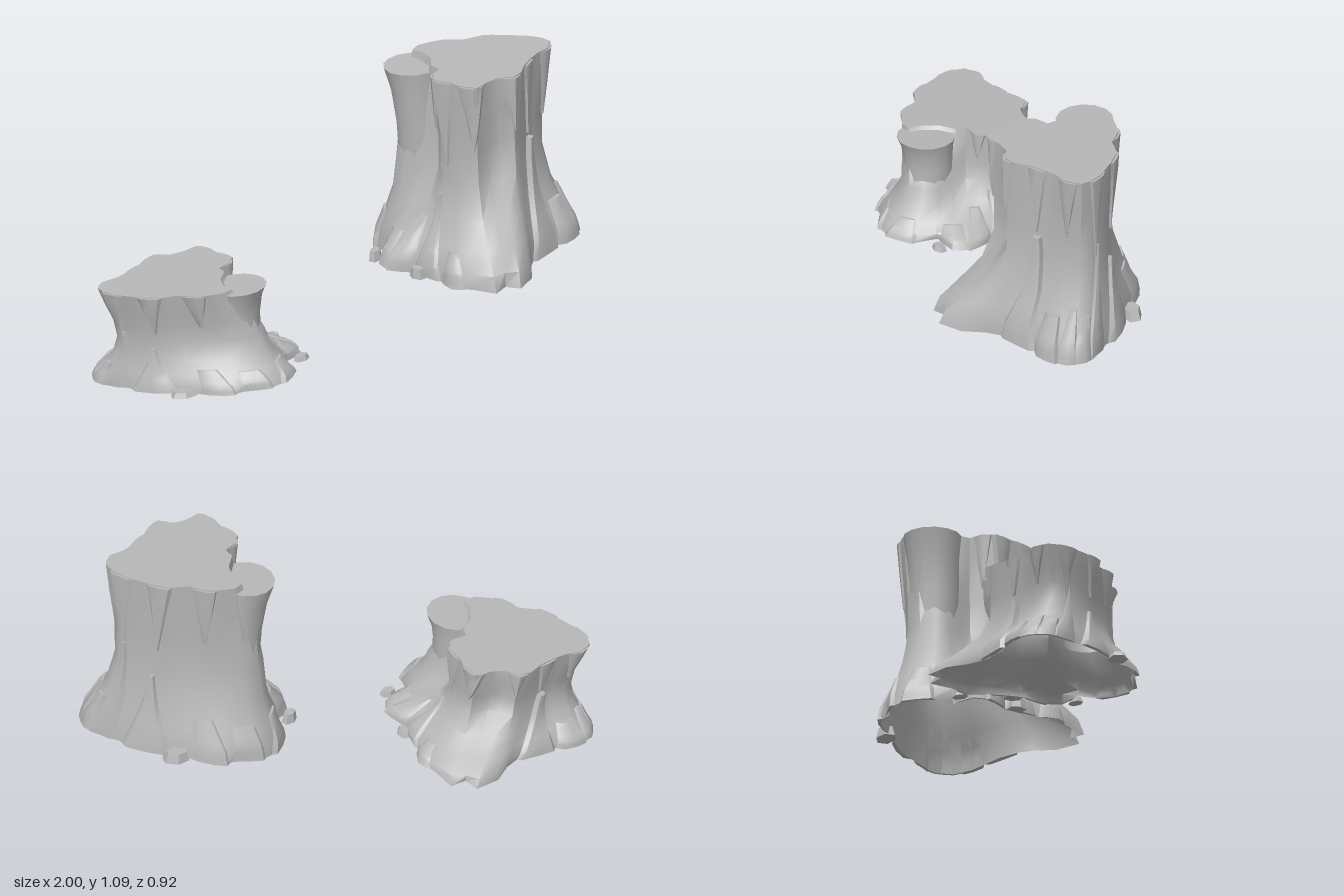
import * as THREE from 'three';
import { toCreasedNormals } from 'three/addons/utils/BufferGeometryUtils.js';

const wood = new THREE.MeshStandardMaterial({ color: 0xb8b8b8, side: THREE.DoubleSide });
wood.name = 'grey wood';

// Outlines of the roots on the ground, the waist and the sawn top (x, z in hundredths)
const ROOTS = [[40, -7], [37, -2], [32, 3], [24, 7], [16, 14], [12, 22], [10, 31], [3, 39], [-2, 35],
  [-7, 40], [-14, 33], [-21, 28], [-24, 17], [-29, 7], [-38, 1], [-39, -6], [-32, -13], [-37, -22],
  [-33, -32], [-26, -37], [-18, -36], [-12, -40], [-2, -36], [10, -31], [22, -27], [32, -18], [38, -15]];
const WAIST = [[29, -13], [27, -8], [23, -4], [20, 0], [17, 5], [14, 9], [11, 13], [6, 14], [1, 14],
  [-5, 16], [-10, 13], [-12, 9], [-15, 5], [-15, 0], [-14, -5], [-19, -10], [-25, -14], [-27, -19],
  [-25, -25], [-19, -29], [-10, -28], [-3, -28], [5, -26], [12, -26], [18, -24], [25, -20], [28, -17]];
const TOP = [[35, -13], [32, -7], [27, -4], [23, 0], [19, 5], [16, 11], [12, 14], [6, 13], [1, 15],
  [-4, 19], [-10, 14], [-12, 10], [-17, 5], [-16, -1], [-12, -5], [-14, -9], [-12, -16], [-13, -22],
  [-16, -27], [-13, -30], [-7, -31], [-2, -31], [5, -28], [13, -29], [20, -26], [29, -21], [33, -17]];
const N = ROOTS.length, HEIGHT = 0.77;
// Root outline softened between neighbours, used above the toes
const SOFT = ROOTS.map((p, i) => p.map((v, c) => v * 0.6 + (ROOTS[(i + 1) % N][c] + ROOTS[(i + N - 1) % N][c]) * 0.2));
// height, share of roots, share of top
const LEVELS = [[0, 1, 0], [0.06, 0.97, 0], [0.13, 0.67, 0], [0.23, 0.26, 0], [0.36, 0.03, 0],
  [0.5, 0, 0.2], [0.64, 0, 0.65], [HEIGHT, 0, 1]];

// Point on the bark at position u around the trunk and height y, pushed outwards by out
function bark(u, y, out = 0) {
  const i = ((Math.floor(u) % N) + N) % N, j = (i + 1) % N, f = u - Math.floor(u);
  let k = 0;
  while (k < LEVELS.length - 2 && y > LEVELS[k + 1][0]) k++;
  const [a, b] = [LEVELS[k], LEVELS[k + 1]];
  const t = (y - a[0]) / (b[0] - a[0]);
  const flare = a[1] + (b[1] - a[1]) * t, crown = a[2] + (b[2] - a[2]) * t;
  const soft = Math.min(1, y / 0.08);
  const at = (n, c) => {
    const trunk = WAIST[n][c] + (TOP[n][c] - WAIST[n][c]) * crown;
    const root = ROOTS[n][c] + (SOFT[n][c] - ROOTS[n][c]) * soft;
    return (trunk + (root - trunk) * flare) / 100;
  };
  const x = at(i, 0) * (1 - f) + at(j, 0) * f;
  const z = at(i, 1) * (1 - f) + at(j, 1) * f;
  const r = Math.hypot(x - 0.05, z + 0.08) || 1;
  return new THREE.Vector3(x + (x - 0.05) / r * out, y, z + (z + 0.08) / r * out);
}

// Skin over rings of points, open at both ends, with a separate flat cap
function loft(rings) {
  const n = rings[0].length, index = [];
  for (let k = 0; k < rings.length - 1; k++) {
    for (let i = 0; i < n; i++) {
      const a = k * n + i, b = k * n + (i + 1) % n;
      index.push(a, a + n, b, b, a + n, b + n);
    }
  }
  const geo = new THREE.BufferGeometry().setFromPoints(rings.flat());
  geo.setIndex(index);
  return toCreasedNormals(geo, 0.75);
}
function cap(ring) {
  const shape = new THREE.Shape(ring.map(p => new THREE.Vector2(p.x, -p.z)));
  return new THREE.ShapeGeometry(shape).rotateX(-Math.PI / 2).translate(0, ring[0].y, 0);
}

// Raised strip of bark that follows the trunk; half widths w0 at y0 and w1 at y1, with closed ends
function splinter(u, y0, w0, y1, w1, out) {
  const rings = [];
  for (let k = 0; k <= 6; k++) {
    const t = k / 6, y = y0 + (y1 - y0) * t, w = w0 + (w1 - w0) * t;
    rings.push([bark(u - w * 1.1, y, 0.001), bark(u - w * 0.8, y, out), bark(u, y, out * 1.15),
      bark(u + w * 0.8, y, out), bark(u + w * 1.1, y, 0.001), bark(u, y, 0.001)]);
  }
  const end = (ring, v) => ring.map(() => bark(u, v, 0.001));
  return loft([end(rings[0], y0), ...rings, end(rings[6], y1)]);
}

function stump() {
  const group = new THREE.Group();
  const add = (name, geo) => {
    const mesh = new THREE.Mesh(geo, wood);
    mesh.name = name;
    group.add(mesh);
    return mesh;
  };

  // Main trunk with spreading roots and a hollow at the front
  const rings = LEVELS.map(([y]) => ROOTS.map((_, i) =>
    bark(i, y, (i === 7 || i === 8) && y > 0.3 && y < 0.6 ? -0.025 : 0)));
  add('trunk', loft(rings));
  add('trunkTop', cap(rings.at(-1)));

  // Smaller side trunk growing out of the waist: height, centre x, centre z, radius
  const side = [[0.3, -0.165, -0.195, 0.088], [0.4, -0.165, -0.193, 0.093], [0.5, -0.165, -0.19, 0.095],
    [0.65, -0.175, -0.195, 0.1], [0.74, -0.185, -0.2, 0.112]]
    .map(([y, x, z, r]) => Array.from({ length: 14 }, (_, i) => {
      const a = i / 14 * Math.PI * 2;
      return new THREE.Vector3(x + r * Math.cos(a), y, z + r * Math.sin(a));
    }));
  add('sideTrunk', loft(side));
  add('sideTrunkTop', cap(side.at(-1)));

  // Splinters hanging from the sawn rim: position, half width, tip height
  for (const [u, w, y] of [[1, 0.7, 0.5], [3.5, 0.6, 0.48], [6, 0.7, 0.55], [9.2, 0.8, 0.5],
    [11.6, 0.7, 0.42], [13, 0.6, 0.55], [21, 0.7, 0.5], [23.4, 0.6, 0.45], [25.4, 0.7, 0.4]]) {
    add('rimSplinter', splinter(u, y, 0.05, HEIGHT - 0.004, w, 0.01));
  }
  // Pointed splinters and blunt blocks rising from the roots: position, half widths, height, thickness
  for (const [u, w, y, tip, out] of [[3.4, 0.8, 0.46, 0.25, 0.022], [0.2, 0.7, 0.2, 0.2, 0.01],
    [25.2, 0.6, 0.45, 0.1, 0.015], [23.6, 0.7, 0.33, 0.1, 0.015], [12.4, 0.6, 0.3, 0.1, 0.015],
    [13.6, 0.6, 0.2, 0.3, 0.015], [1.6, 0.8, 0.17, 0.5, 0.02], [26.2, 0.6, 0.17, 0.4, 0.01],
    [15, 0.8, 0.13, 0.5, 0.01], [17.5, 0.7, 0.15, 0.4, 0.01], [19.5, 0.8, 0.14, 0.5, 0.01],
    [21.4, 0.7, 0.17, 0.4, 0.01], [11, 0.6, 0.12, 0.3, 0.01]]) {
    add('rootSplinter', splinter(u, 0, w, y, tip, out));
  }

  // Loose chips on the ground: x, z, size, turn
  for (const [x, z, s, turn] of [[0.06, -0.35, 0.056, 0.2], [-0.4, -0.11, 0.036, 0.8], [-0.3, 0.12, 0.038, 2]]) {
    const chip = add('chip', new THREE.CylinderGeometry(s * 0.75, s, 0.04, 6).toNonIndexed());
    chip.geometry.computeVertexNormals();
    chip.position.set(x, 0.02, z);
    chip.rotation.y = turn;
    chip.scale.z = 0.7;
  }
  return group;
}

export function createModel() {
  const model = new THREE.Group();
  const tall = stump();
  tall.name = 'tallStump';
  tall.position.set(0.59, 0.3, -0.06);
  tall.rotation.z = 0.055;

  // Same stump turned around, flattened and tilted
  const low = stump();
  low.name = 'lowStump';
  low.position.set(-0.585, 0.038, 0.025);
  low.rotation.set(-0.02, -195 * Math.PI / 180, 0.09, 'XZY');
  low.scale.y = 0.5;
  model.add(tall, low);
  return model;
}
